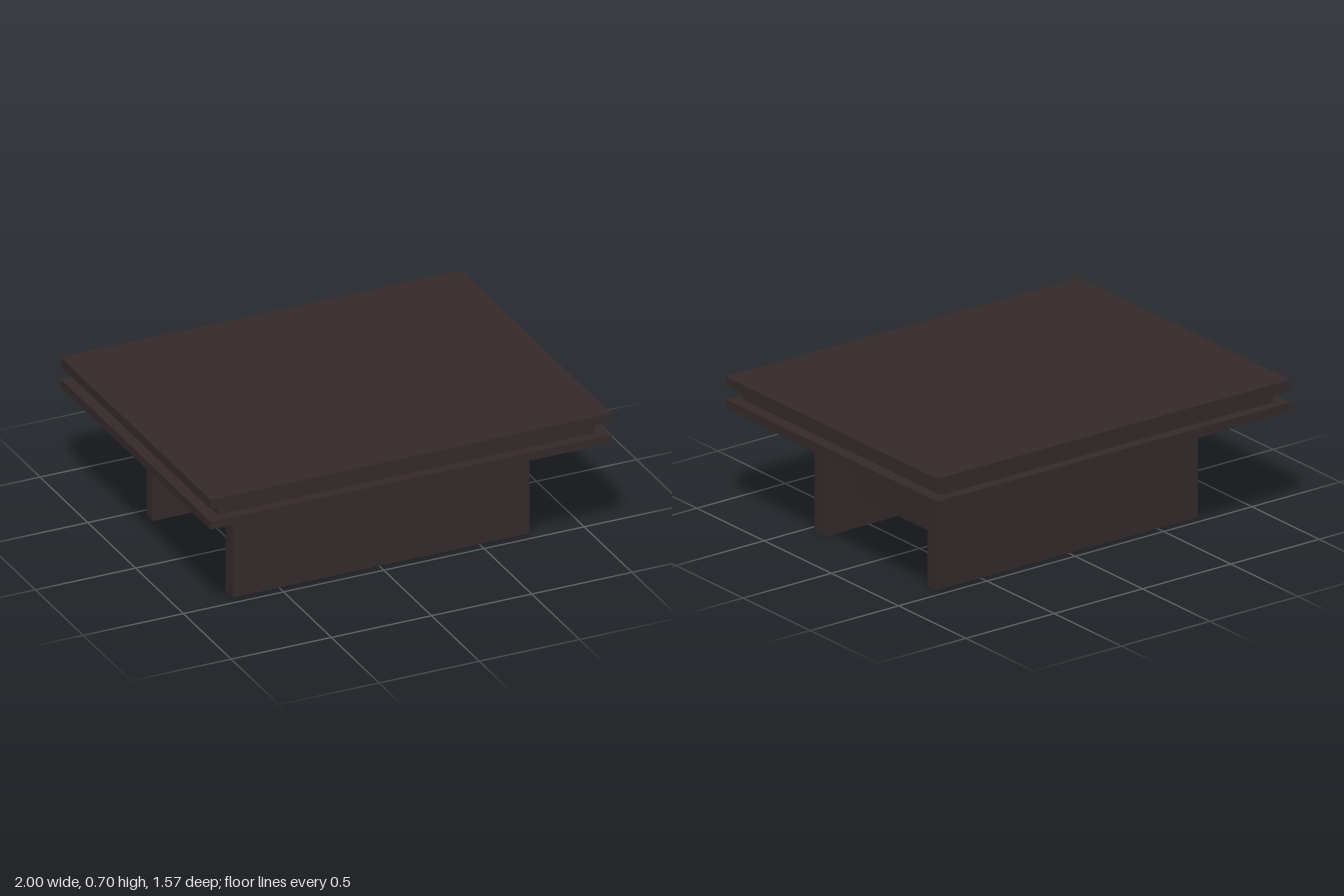
import * as THREE from 'three';

const darkWood = new THREE.MeshStandardMaterial({ color: 0x352a2b, side: THREE.DoubleSide });
darkWood.name = 'darkWood';

// Corner signs (x, z), counter-clockwise seen from above
const CORNERS = [[-1, 1], [1, 1], [1, -1], [-1, -1]];

// Rectangular loft: rings from bottom to top, each { x, z, y: height or four corner heights }
function loft(rings) {
  const pts = rings.map(({ x, z, y }) =>
    CORNERS.map(([sx, sz], i) => [sx * x, Array.isArray(y) ? y[i] : y, sz * z]));
  const pos = [];
  const quad = (a, b, c, d) => pos.push(...a, ...b, ...c, ...a, ...c, ...d);
  const [first, last] = [pts[0], pts[pts.length - 1]];
  quad(first[3], first[2], first[1], first[0]);
  for (let r = 0; r < pts.length - 1; r++) {
    for (let i = 0; i < 4; i++) {
      const j = (i + 1) % 4;
      quad(pts[r][i], pts[r][j], pts[r + 1][j], pts[r + 1][i]);
    }
  }
  quad(...last);
  const geo = new THREE.BufferGeometry();
  geo.setAttribute('position', new THREE.Float32BufferAttribute(pos, 3));
  geo.computeVertexNormals();
  return geo;
}

// Box given by its limits on each axis
function boxBetween(x0, x1, y0, y1, z0, z1) {
  return new THREE.BoxGeometry(x1 - x0, y1 - y0, z1 - z0)
    .translate((x0 + x1) / 2, (y0 + y1) / 2, (z0 + z1) / 2);
}

// Thin upright sheet between the legs, with separate x at bottom and top
function crossSheet(xBottom, xTop) {
  const geo = new THREE.PlaneGeometry(0.765, 0.39).rotateY(Math.PI / 2).translate(0, 0.355, -0.007);
  const p = geo.attributes.position;
  for (let i = 0; i < p.count; i++) p.setX(i, p.getY(i) > 0.3 ? xTop : xBottom);
  geo.computeVertexNormals();
  return geo;
}

export function createModel() {
  const table = new THREE.Group();
  table.name = 'coffeeTable';
  const add = (name, geometry) => {
    const mesh = new THREE.Mesh(geometry, darkWood);
    mesh.name = name;
    table.add(mesh);
  };

  // Top board with sloping underside, recessed neck and lower board
  add('topBoard', loft([
    { x: 0.94, z: 0.735, y: 0.634 },
    { x: 1, z: 0.785, y: [0.66, 0.66, 0.643, 0.658] },
    { x: 1, z: 0.785, y: 0.705 },
  ]));
  add('neck', boxBetween(-0.94, 0.94, 0.592, 0.636, -0.735, 0.735));
  add('lowerBoard', loft([
    { x: 1, z: 0.785, y: [0.555, 0.555, 0.536, 0.552] },
    { x: 1, z: 0.785, y: 0.595 },
  ]));

  // Wide slab legs
  add('frontLeg', boxBetween(-0.73, 0.75, 0, 0.556, 0.375, 0.453));
  add('backLeg', boxBetween(-0.73, 0.75, 0, 0.548, -0.453, -0.388));

  // Cross sheets joining the legs
  add('leftCrossSheet', crossSheet(0.58, 0.58));
  add('rightCrossSheet', crossSheet(-0.58, -0.52));

  return table;
}
